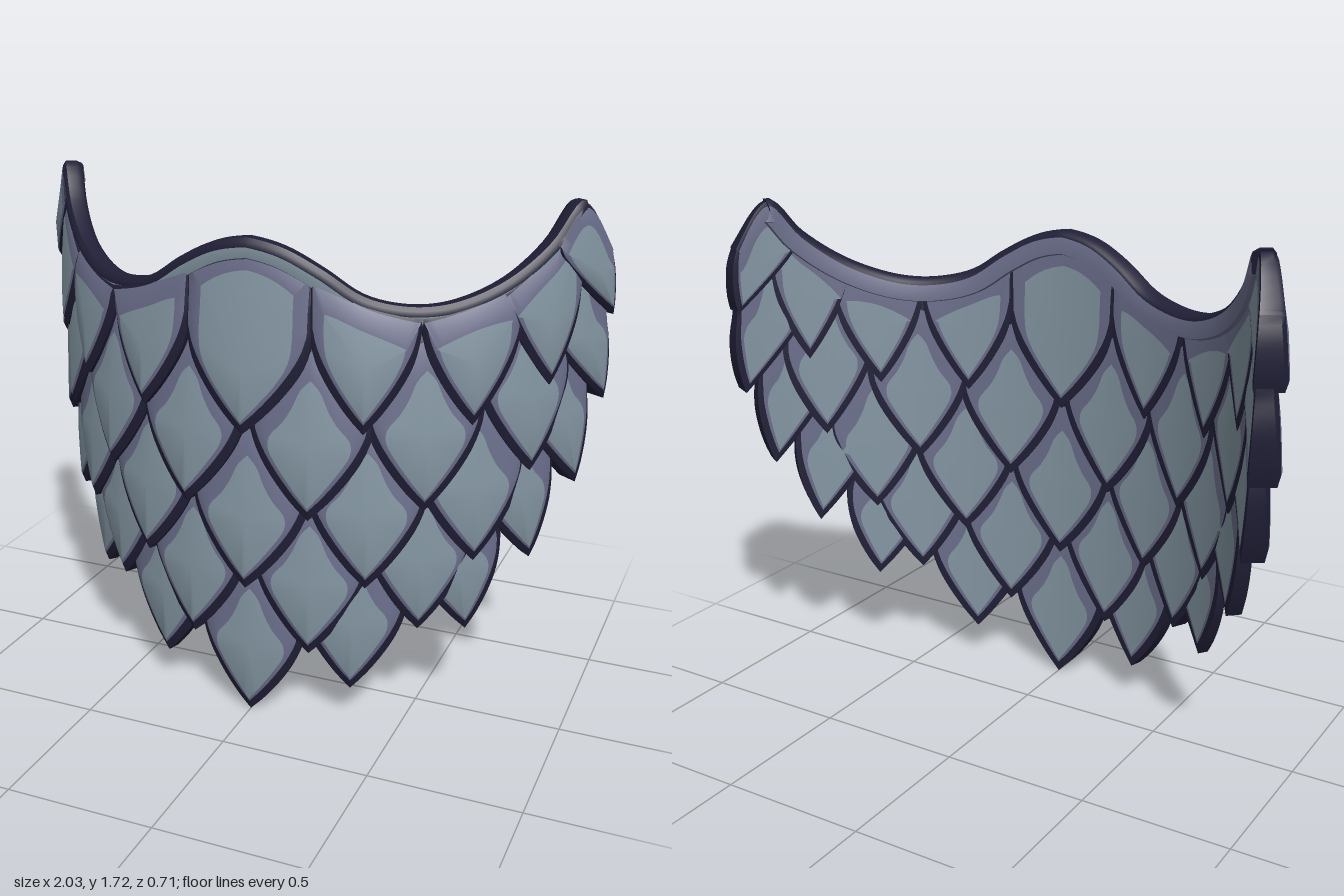
import * as THREE from 'three';
import { toCreasedNormals } from 'three/addons/utils/BufferGeometryUtils.js';

const DEG = Math.PI / 180, CENTRE_Z = -0.87;

const mat = (name, color) => {
  const m = new THREE.MeshStandardMaterial({ color, side: THREE.DoubleSide });
  m.name = name;
  return m;
};

// Point on the curved wall: angle from the front, height, radius
const wrap = (deg, y, r) => [r * Math.sin(deg * DEG), y, CENTRE_Z + r * Math.cos(deg * DEG)];

// Radius of the smooth inner wall, pinched in slightly at both ends
const innerR = deg => 1.09 - .025 * (deg / 58) ** 4;

// Height of the neckline, one value every 6 degrees
const neck = new THREE.SplineCurve(
  [1.635, 1.61, 1.55, 1.475, 1.445, 1.445, 1.475, 1.53, 1.615, 1.73, 1.6, 1.4]
    .map((y, i) => new THREE.Vector2(i * 6, y)));
const neckY = deg => neck.getPoint(Math.min(Math.abs(deg) / 66, 1)).y;

// Closed outline from the right half of a profile, counterclockwise from the tip
function outline(half) {
  const right = new THREE.SplineCurve(half.map(p => new THREE.Vector2(...p))).getPoints(24);
  const left = right.slice(1, -1).reverse().map(p => new THREE.Vector2(-p.x, p.y));
  return [...right, ...left];
}

// Profiles (share of half width, height above the tip): edge, border, light patch
const KITE = [
  [[0, 0], [.3, .06], [.62, .14], [.86, .22], [1, .31], [.93, .4], [.68, .49], [.36, .55], [0, .58]],
  [[0, .035], [.22, .083], [.51, .158], [.75, .235], [.88, .31], [.8, .39], [.57, .465], [.3, .52], [0, .545]],
  [[0, .045], [.2, .095], [.47, .17], [.63, .225], [.62, .27], [.43, .315], [.28, .365], [.16, .42], [0, .455]],
].map(outline);
const COLLAR = [
  [[0, 0], [.3, .06], [.62, .14], [.86, .22], [.98, .31], [1, .4], [1, .9], [.5, .9], [0, .9]],
  [[0, .035], [.22, .083], [.51, .158], [.76, .24], [.89, .31], [.92, .4], [.92, .9], [.45, .9], [0, .9]],
  [[0, .045], [.2, .095], [.48, .17], [.66, .24], [.71, .31], [.71, .4], [.68, .9], [.34, .9], [0, .9]],
].map(outline);

// Collects faces by material index and returns a grouped geometry
function grouped(points, faces) {
  const geo = new THREE.BufferGeometry(), index = [];
  faces.forEach((list, m) => {
    geo.addGroup(index.length, list.length, m);
    index.push(...list);
  });
  geo.setAttribute('position', new THREE.Float32BufferAttribute(points.flat(), 3));
  geo.setIndex(index);
  return toCreasedNormals(geo, 0.7);
}

// One wedge-shaped scale: domed front rings, a wall, and flush rings on the inner side
function scaleGeometry({ deg, tip, w, k, lean, r, layer, top }) {
  const shapes = top ? COLLAR : KITE, n = shapes[0].length;
  const place = (p, margin, lift, back) => {
    const u = deg + lean * Math.min(p.y / .3, 1) + (p.x * w / 1.12) / DEG;
    const y = Math.min(tip + p.y * k, neckY(u) - margin * k * (1 + .5 * p.x ** 2));
    const v = Math.max(y - tip, 0), core = innerR(u);
    const radius = back ? core + .03 * v + layer
      : THREE.MathUtils.lerp(r, core + .045, Math.min(v / .58, 1));
    return wrap(u, y, radius + lift);
  };
  const rings = [
    [shapes[2], .1, .008, false], [shapes[1], .03, .004, false], [shapes[0], .01, -.01, false],
    [shapes[0], .01, .003, true], [shapes[1], .03, 0, true], [shapes[2], .12, 0, true],
  ];
  const points = rings.flatMap(([s, ...rest]) => s.map(p => place(p, ...rest)));
  const mid = new THREE.Vector2(0, top ? .2 : .25);
  const front = points.push(place(mid, .1, .02, false)) - 1;
  const rear = points.push(place(mid, .1, 0, true)) - 1;
  const faces = [[], [], []], ringColour = [1, 2, 2, 2, 1];
  for (let i = 0; i < n; i++) {
    const j = (i + 1) % n;
    faces[0].push(front, i, j, 5 * n + i, rear, 5 * n + j);
    ringColour.forEach((c, q) => {
      const a = q * n, b = a + n;
      faces[c].push(a + i, b + i, b + j, a + i, b + j, a + j);
    });
  }
  return grouped(points, faces);
}

// Moulded band that follows the neckline
function rimGeometry() {
  const section = [[-.01, -.08], [.018, -.062], [.024, -.028], [.02, -.012], [.01, 0],
    [-.025, 0], [-.045, -.01], [-.05, -.02], [-.053, -.075], [-.04, -.08]];
  const colour = [1, 0, 2, 2, 2, 2, 2, 1, 1], steps = 96, end = 54.5, s = section.length;
  const points = [], faces = [[], [], []];
  for (let i = 0; i <= steps; i++) {
    const deg = -end + 2 * end * i / steps;
    const slope = (neckY(deg + .5) - neckY(deg - .5)) / (1.12 * DEG);
    const len = Math.hypot(1, slope);
    for (const [dr, d] of section) {
      const u = deg - (slope / len) * d / 1.12 / DEG;
      points.push(wrap(u, neckY(deg) + d / len, innerR(deg) + .045 + dr));
    }
    if (i < steps) colour.forEach((c, q) => {
      const a = i * s + q, b = a + s;
      faces[c].push(a, b, b + 1, a, b + 1, a + 1);
    });
  }
  // End caps
  const last = steps * s;
  for (let q = 1; q < s - 1; q++) faces[2].push(0, q, q + 1, last, last + q + 1, last + q);
  return grouped(points, faces);
}

// Rows from the neckline down: [angle, tip height, half width, height factor, lean]
const ROWS = [
  { name: 'collarScale', r: 1.208, top: true, items: [[0, 1.02, .21, 1, 0], [18.5, 1.05, .168, 1, 0],
    [35, 1.07, .16, 1, 0], [48, 1.17, .145, 1, -1], [61, 1.355, .115, .75, -6.5]] },
  { name: 'secondRowScale', r: 1.2, items: [[10.3, .75, .195, 1, 0], [28, .79, .185, 1, 0],
    [45.5, .89, .165, 1, -1], [60.5, 1.075, .13, .88, -6]] },
  { name: 'thirdRowScale', r: 1.193, items: [[0, .48, .2, 1, 0], [19.3, .52, .19, 1, 0],
    [36.5, .6, .18, 1, -.5], [55.5, .805, .145, 1, -5]] },
  { name: 'fourthRowScale', r: 1.17, items: [[10.3, .26, .19, 1, 0], [28, .36, .18, 1, 0],
    [47.5, .565, .155, 1, -4]] },
  { name: 'bottomRowScale', r: 1.155, items: [[0, .005, .185, 1, 0], [17.2, .13, .18, 1, 0],
    [36.5, .335, .16, .95, -2.5]] },
];

export function createModel() {
  const model = new THREE.Group();
  model.name = 'scaleCollar';
  const materials = [mat('steelGrey', 0x8294a0), mat('shadeViolet', 0x696d89), mat('darkNavy', 0x211f37)];
  const add = (name, geo) => {
    const mesh = new THREE.Mesh(geo, materials);
    mesh.name = name;
    model.add(mesh);
  };

  for (const row of ROWS) {
    row.items.forEach(([deg, tip, w, k, lean], i) => {
      const r = row.r - .025 * (deg / 58) ** 2 - .004 * i;
      for (const side of deg ? [1, -1] : [1]) {
        const label = deg ? (side > 0 ? 'Left' : 'Right') : 'Centre';
        add(`${row.name}${label}${i + 1}`, scaleGeometry({
          deg: deg * side, tip, w, k, lean: lean * side, r, layer: .001 * i, top: row.top }));
      }
    });
  }
  add('necklineRim', rimGeometry());
  return model;
}
